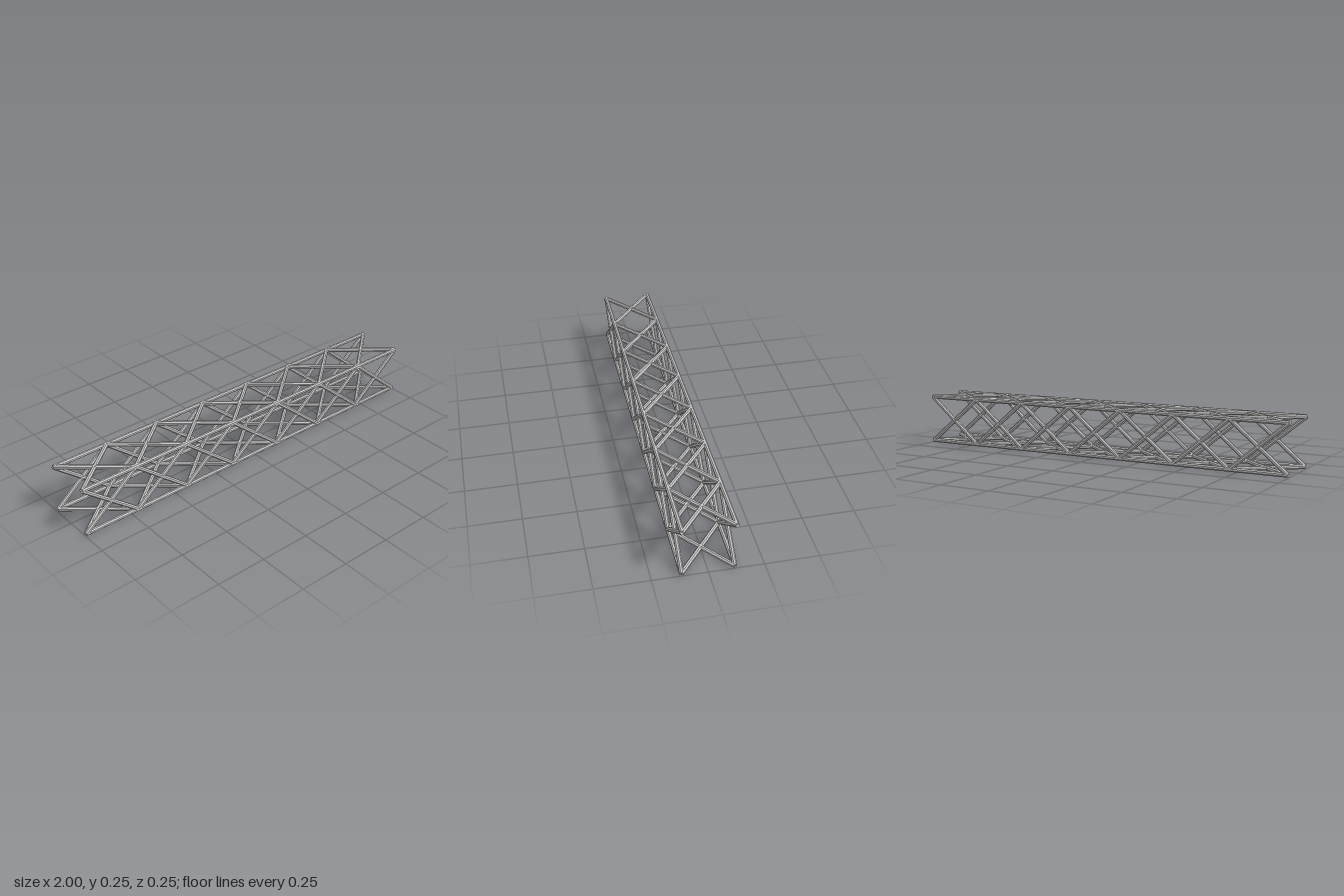
import * as THREE from 'three';

const BAYS = 7;
const R = 0.011;            // rod radius, corner to centre
const FLAT = R * Math.cos(Math.PI / 8);
const HALF = 0.1275 - FLAT; // chord centre line from the truss axis
const END = 0.9935;         // chord half length; brace caps reach x = 1

export function createModel() {
  const truss = new THREE.Group();
  truss.name = 'boxTruss';
  const material = new THREE.MeshStandardMaterial({ color: 0xcccccc, flatShading: true });
  const up = new THREE.Vector3(0, 1, 0);

  // Eight-sided rod between two points, with flats facing outward
  function rod(name, a, b, parent) {
    const dir = b.clone().sub(a);
    const geometry = new THREE.CylinderGeometry(R, R, dir.length(), 8, 1, false, Math.PI / 8);
    const mesh = new THREE.Mesh(geometry, material);
    mesh.name = name;
    mesh.position.copy(a).add(b).multiplyScalar(0.5);
    mesh.quaternion.setFromUnitVectors(up, dir.normalize());
    parent.add(mesh);
  }

  // Each side holds one chord and a row of crossed braces, turned about x
  const step = (2 * END) / BAYS;
  const point = (x, y) => new THREE.Vector3(x, y, 0);
  ['front', 'bottom', 'back', 'top'].forEach((label, i) => {
    const side = new THREE.Group();
    side.name = label + 'Side';
    side.rotation.x = (i * Math.PI) / 2;

    const panel = new THREE.Group();
    panel.name = label + 'Panel';
    panel.position.z = HALF;
    side.add(panel);

    rod('chord', point(-END, HALF), point(END, HALF), panel);
    for (let b = 0; b < BAYS; b++) {
      const x0 = -END + b * step;
      rod('risingBrace', point(x0, -HALF), point(x0 + step, HALF), panel);
      rod('fallingBrace', point(x0 + step, -HALF), point(x0, HALF), panel);
    }
    truss.add(side);
  });

  truss.position.y = HALF + FLAT;
  const model = new THREE.Group();
  model.name = 'truss';
  model.add(truss);
  return model;
}
